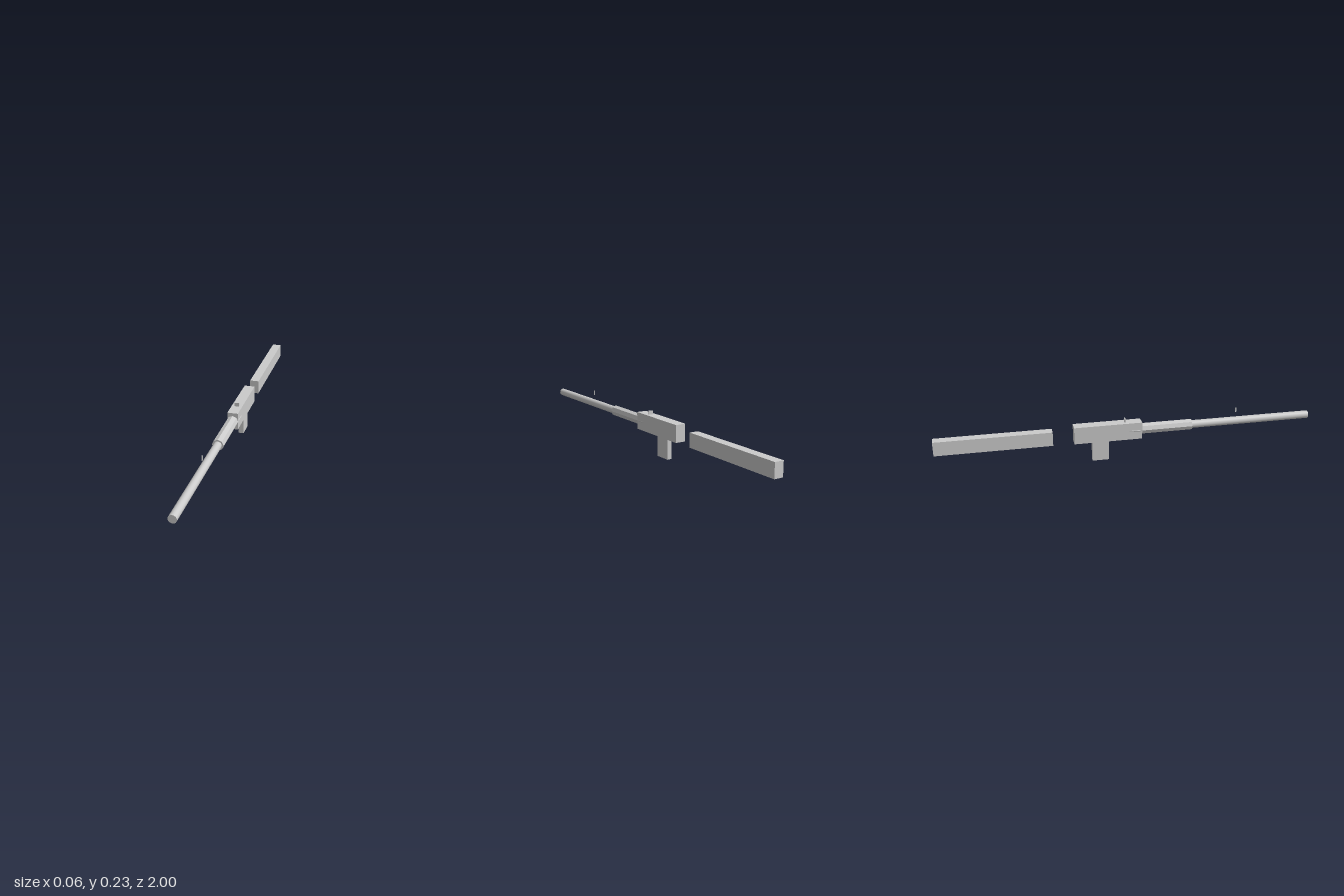
import * as THREE from 'three';

export function createModel() {
  const model = new THREE.Group();
  const flat = new THREE.MeshStandardMaterial({ color: 0xcccccc, flatShading: true });
  const smooth = new THREE.MeshStandardMaterial({ color: 0xcccccc });

  const add = (name, geometry, material) => {
    const mesh = new THREE.Mesh(geometry, material);
    mesh.name = name;
    model.add(mesh);
  };

  // Box centred on x, given by its width and its y and z ranges
  const box = (name, width, y0, y1, z0, z1) => {
    const geometry = new THREE.BoxGeometry(width, y1 - y0, z1 - z0);
    geometry.translate(0, (y0 + y1) / 2, (z0 + z1) / 2);
    add(name, geometry, flat);
  };

  // Cylinder lying along z on the bore axis
  const boreY = 0.157;
  const rod = (name, radius, z0, z1, sides, material) => {
    const geometry = new THREE.CylinderGeometry(radius, radius, z1 - z0, sides);
    geometry.rotateX(Math.PI / 2).translate(0, boreY, (z0 + z1) / 2);
    add(name, geometry, material);
  };

  // Body, grip and detached stock
  box('receiver', 0.056, 0.111, 0.202, -0.29, 0.068);
  box('grip', 0.027, 0, 0.111, -0.195, -0.107);
  box('stock', 0.049, 0.112, 0.187, -1, -0.4);

  // Eight-sided handguard and round barrel
  rod('handguard', 0.0295, 0, 0.34, 8, flat);
  rod('barrel', 0.0208, 0.3, 1, 16, smooth);

  // Sights
  box('rearSight', 0.023, 0.202, 0.222, -0.0225, -0.0165);
  box('frontSight', 0.0045, 0.206, 0.231, 0.584, 0.59);

  return model;
}
